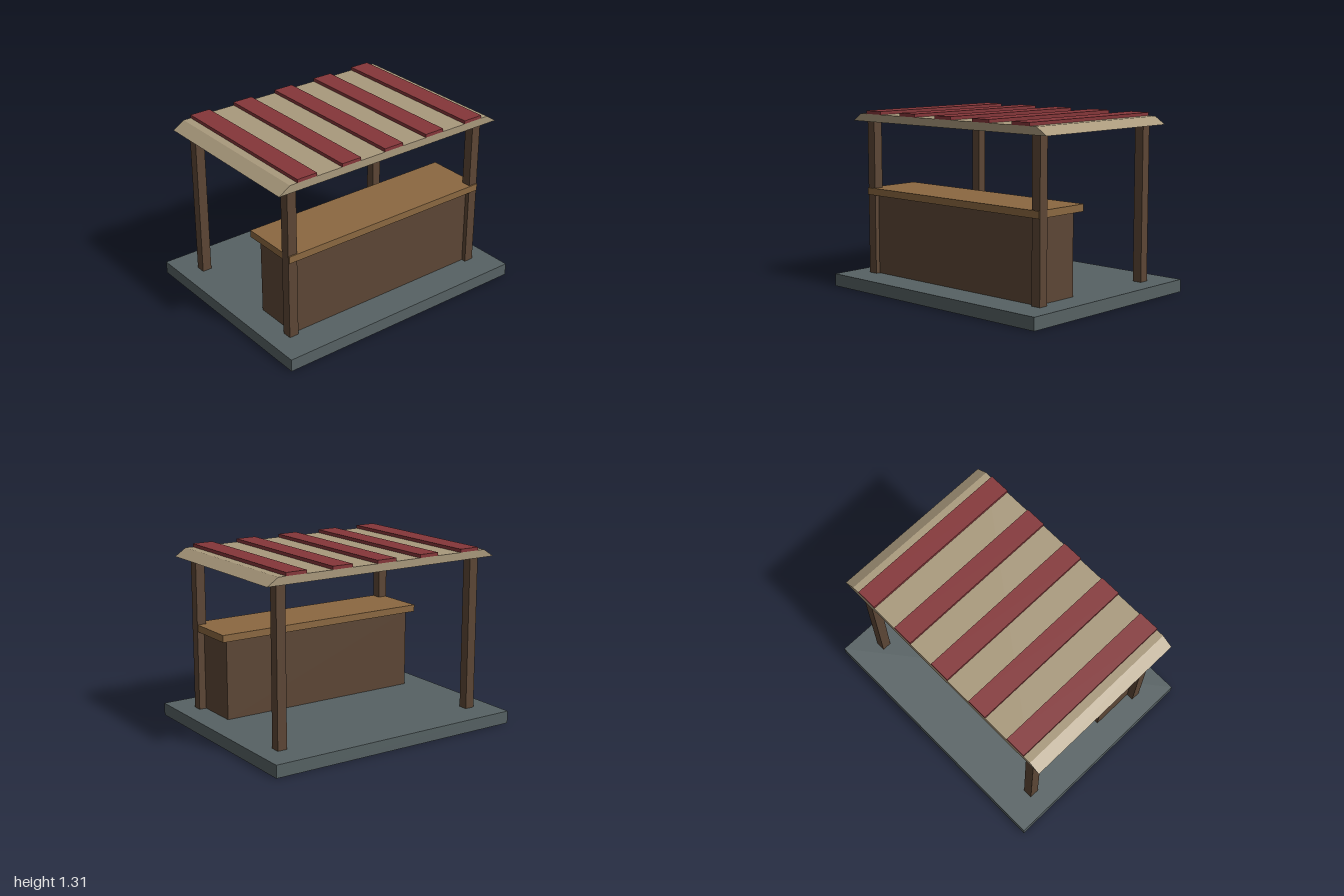
import * as THREE from 'three';

const mat = (name, color) => {
  const m = new THREE.MeshStandardMaterial({ color });
  m.name = name;
  return m;
};

export function createModel() {
  const stone = mat('slate stone', 0x566163);
  const darkWood = mat('dark wood', 0x5c4635);
  const lightWood = mat('light wood', 0x8b6841);
  const canvas = mat('beige canvas', 0xa9997c);
  const red = mat('red canvas', 0x853639);

  const group = new THREE.Group();
  group.name = 'marketStall';

  // Box given by its lower and upper limits on each axis
  const box = (name, material, [x0, x1], [y0, y1], [z0, z1]) => {
    const mesh = new THREE.Mesh(new THREE.BoxGeometry(x1 - x0, y1 - y0, z1 - z0), material);
    mesh.position.set((x0 + x1) / 2, (y0 + y1) / 2, (z0 + z1) / 2);
    mesh.name = name;
    group.add(mesh);
  };

  // Floor slab
  box('floorSlab', stone, [-1, 1], [0, 0.092], [-0.8, 0.8]);

  // Counter
  box('counterBody', darkWood, [-0.8, 0.8], [0.092, 0.683], [0.184, 0.55]);
  box('counterTop', lightWood, [-0.85, 0.85], [0.683, 0.735], [0.139, 0.594]);

  // Four corner posts
  const half = 0.036;
  for (const [side, x] of [['Left', 0.818], ['Right', -0.818]]) {
    for (const [end, z] of [['front', 0.548], ['back', -0.548]]) {
      box(`${end}${side}Post`, darkWood, [x - half, x + half], [0.092, 1.232], [z - half, z + half]);
    }
  }

  // Awning: flat slab with sloping left and right ends
  const depth = 1.272;
  const profile = new THREE.Shape([
    new THREE.Vector2(-0.952, 1.232),
    new THREE.Vector2(0.952, 1.232),
    new THREE.Vector2(0.866, 1.288),
    new THREE.Vector2(-0.866, 1.288),
  ]);
  const awning = new THREE.Mesh(
    new THREE.ExtrudeGeometry(profile, { depth, bevelEnabled: false }), canvas);
  awning.position.z = -depth / 2;
  awning.name = 'awning';
  group.add(awning);

  // Raised stripes on the awning
  for (let i = -2; i <= 2; i++) {
    const x = i * 0.364;
    box(`awningStripe${i + 3}`, red, [x - 0.079, x + 0.079], [1.288, 1.312], [-depth / 2, depth / 2]);
  }

  return group;
}
